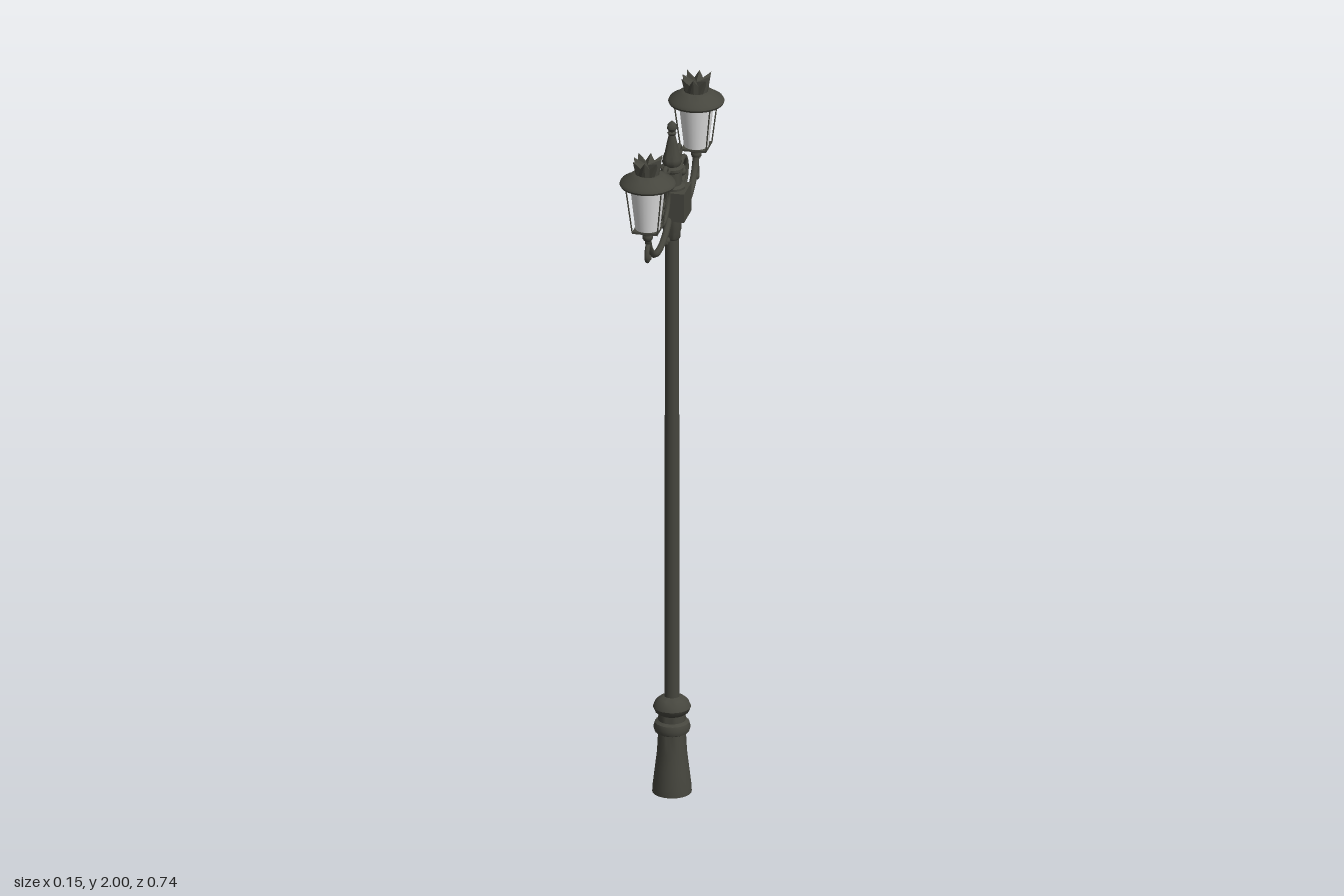
import * as THREE from 'three';
import { toCreasedNormals } from 'three/addons/utils/BufferGeometryUtils.js';

const iron = new THREE.MeshStandardMaterial({ color: 0x46463e });
iron.name = 'dark iron';
const facetedIron = iron.clone(); // same colour, faceted for the crowns
facetedIron.flatShading = true;
const glass = new THREE.MeshStandardMaterial({ color: 0xdcdcdc });
glass.name = 'frosted glass';

function add(parent, name, geometry, material = iron) {
  const mesh = new THREE.Mesh(geometry, material);
  mesh.name = name;
  parent.add(mesh);
  return mesh;
}

// Turned part from [radius, y] pairs, bottom to top
function turned(points, sides = 24) {
  const profile = points.map(([r, y]) => new THREE.Vector2(r, y));
  return toCreasedNormals(new THREE.LatheGeometry(profile, sides), 0.7);
}

// Round bar following [y, z] points in the plane of the arms
function bar(points, radius, steps) {
  const path = new THREE.CatmullRomCurve3(points.map(([y, z]) => new THREE.Vector3(0, y, z)));
  return new THREE.TubeGeometry(path, steps, radius, 8);
}

function ball(parent, name, y, z, r) {
  add(parent, name, new THREE.SphereGeometry(r, 12, 8)).position.set(0, y, z);
}

// Pleated crown: every other rim point is raised and flared
function crownGeometry() {
  const geo = new THREE.CylinderGeometry(0.033, 0.032, 0.03, 16);
  const p = geo.attributes.position;
  for (let i = 0; i < p.count; i++) {
    const x = p.getX(i), z = p.getZ(i);
    if (p.getY(i) < 0 || Math.hypot(x, z) < 0.01) continue;
    const step = Math.round(Math.atan2(z, x) / (Math.PI / 8));
    if (step % 2 === 0) {
      const flare = step % 4 === 0 ? 1.18 : 1.45;
      p.setXYZ(i, x * flare, 0.035, z * flare);
    }
  }
  geo.computeVertexNormals();
  return geo;
}

function createLantern() {
  const lantern = new THREE.Group();
  lantern.name = 'lantern';
  add(lantern, 'lanternCup', turned([[0, 1.765], [0.012, 1.765], [0.014, 1.778], [0.028, 1.785], [0.028, 1.792], [0, 1.792]]));
  add(lantern, 'lanternFloor', new THREE.BoxGeometry(0.07, 0.006, 0.07)).position.y = 1.79;
  const shade = add(lantern, 'glassShade', new THREE.CylinderGeometry(0.049, 0.034, 0.134, 24), glass);
  shade.position.y = 1.86;
  // Thin corner bars
  for (const sx of [-1, 1]) for (const sz of [-1, 1]) {
    const edge = new THREE.LineCurve3(
      new THREE.Vector3(sx * 0.035, 1.79, sz * 0.035), new THREE.Vector3(sx * 0.05, 1.928, sz * 0.05));
    add(lantern, 'cornerBar', new THREE.TubeGeometry(edge, 1, 0.002, 6));
  }
  add(lantern, 'roof', turned([[0, 1.924], [0.06, 1.922], [0.074, 1.92], [0.077, 1.926], [0.073, 1.934],
    [0.058, 1.942], [0.046, 1.952], [0.036, 1.956], [0, 1.957]], 32));
  add(lantern, 'crown', crownGeometry(), facetedIron).position.y = 1.965;
  lantern.position.z = 0.292;
  return lantern;
}

function createArm() {
  const arm = new THREE.Group();
  arm.name = 'lampArm';
  // Main sweeping bracket
  add(arm, 'bracket', bar([[1.72, 0.03], [1.695, 0.06], [1.677, 0.1], [1.67, 0.15], [1.677, 0.2],
    [1.7, 0.245], [1.74, 0.28], [1.78, 0.292]], 0.0095, 40));
  // Leaf curls at both ends of the bracket
  add(arm, 'outerCurl', bar([[1.745, 0.283], [1.728, 0.298], [1.708, 0.302], [1.697, 0.294], [1.703, 0.284]], 0.007, 16));
  ball(arm, 'outerCurlTip', 1.703, 0.287, 0.01);
  add(arm, 'innerCurl', bar([[1.675, 0.115], [1.662, 0.09], [1.655, 0.07], [1.665, 0.062]], 0.007, 12));
  ball(arm, 'innerCurlTip', 1.662, 0.068, 0.011);
  ball(arm, 'socketKnob', 1.768, 0.292, 0.015);
  // Upper scroll, from its top curl down into the spiral
  add(arm, 'scroll', bar([[1.862, 0.062], [1.873, 0.068], [1.88, 0.082], [1.868, 0.094], [1.848, 0.085],
    [1.822, 0.062], [1.785, 0.048], [1.75, 0.062], [1.73, 0.095], [1.735, 0.135], [1.76, 0.164],
    [1.795, 0.168], [1.822, 0.145], [1.822, 0.11], [1.798, 0.087], [1.768, 0.095], [1.757, 0.12],
    [1.772, 0.141], [1.793, 0.136], [1.793, 0.118]], 0.0075, 110));
  ball(arm, 'scrollTopTip', 1.864, 0.062, 0.011);
  ball(arm, 'scrollEye', 1.788, 0.12, 0.012);
  arm.add(createLantern());
  return arm;
}

export function createModel() {
  const model = new THREE.Group();
  model.name = 'streetLamp';

  // Flared foot with two mouldings
  add(model, 'base', turned([[0, 0], [0.054, 0], [0.053, 0.02], [0.047, 0.07], [0.041, 0.12], [0.038, 0.175],
    [0.047, 0.18], [0.051, 0.193], [0.047, 0.207], [0.038, 0.213], [0.037, 0.232], [0.046, 0.238],
    [0.052, 0.252], [0.046, 0.267], [0.035, 0.277], [0.022, 0.283], [0, 0.283]]));
  add(model, 'pole', new THREE.CylinderGeometry(0.019, 0.021, 1.43, 20)).position.y = 0.985;
  add(model, 'collar', turned([[0.018, 1.638], [0.023, 1.645], [0.023, 1.66], [0.026, 1.67], [0.026, 1.712]]));
  add(model, 'hubBlock', new THREE.BoxGeometry(0.088, 0.084, 0.088)).position.y = 1.75;

  // Turned finial
  add(model, 'finial', turned([[0.036, 1.792], [0.036, 1.798], [0.026, 1.803], [0.025, 1.84], [0.032, 1.845],
    [0.032, 1.853], [0.022, 1.858], [0.027, 1.868], [0.026, 1.878], [0.02, 1.895], [0.014, 1.925],
    [0.009, 1.947], [0.013, 1.953], [0.009, 1.958], [0.014, 1.967], [0.012, 1.977], [0.005, 1.985], [0, 1.989]]));

  // Two opposite arms
  for (const turn of [0, Math.PI]) {
    const arm = createArm();
    arm.rotation.y = turn;
    model.add(arm);
  }
  return model;
}
